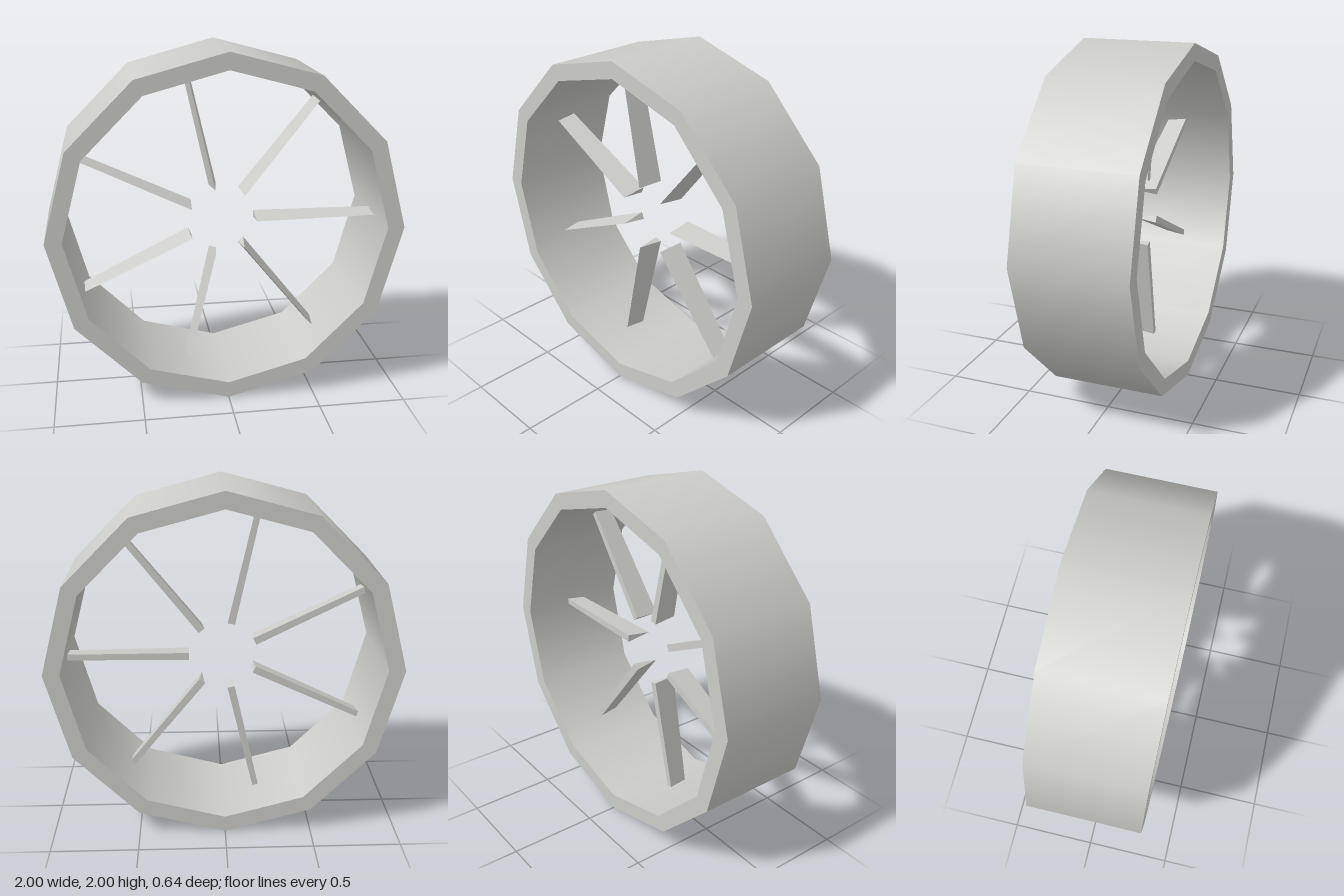
import * as THREE from 'three';
import { mergeGeometries } from 'three/addons/utils/BufferGeometryUtils.js';

const OUTER = 1, INNER = 0.905, HALF_DEPTH = 0.322, SIDES = 12, BLADES = 7;

// Twelve-sided band: one lathe per wall, so the rims stay crisp
function ringGeometry() {
  const section = [
    [OUTER, -HALF_DEPTH], [OUTER, HALF_DEPTH],
    [INNER, HALF_DEPTH], [INNER, -HALF_DEPTH],
  ].map(([r, d]) => new THREE.Vector2(r, d));
  const walls = section.map((p, i) =>
    new THREE.LatheGeometry([p.clone(), section[(i + 1) % 4].clone()], SIDES));
  return mergeGeometries(walls).rotateX(Math.PI / 2);
}

// Slim tapered triangular bar, sharp edge to the front, running along +y
function bladeGeometry() {
  const bar = new THREE.CylinderGeometry(0.08, 0.1, 0.7, 3)
    .scale(0.25, 1, 1)
    .translate(0, 0.55, 0)
    .toNonIndexed();
  bar.computeVertexNormals();
  return bar;
}

export function createModel() {
  const model = new THREE.Group();
  model.name = 'bladedRing';
  const metal = new THREE.MeshStandardMaterial({ color: 0xccccc8 });
  metal.name = 'light grey metal';

  const ring = new THREE.Mesh(ringGeometry(), metal);
  ring.name = 'ring';
  ring.position.y = OUTER;
  model.add(ring);

  // Blades radiate around an open hub
  const blades = new THREE.Group();
  blades.name = 'blades';
  blades.position.y = OUTER;
  const geometry = bladeGeometry();
  for (let i = 0; i < BLADES; i++) {
    const blade = new THREE.Mesh(geometry, metal);
    blade.name = `blade${i + 1}`;
    blade.rotation.z = (i / BLADES) * Math.PI * 2 - Math.PI / 2;
    blades.add(blade);
  }
  model.add(blades);
  return model;
}
